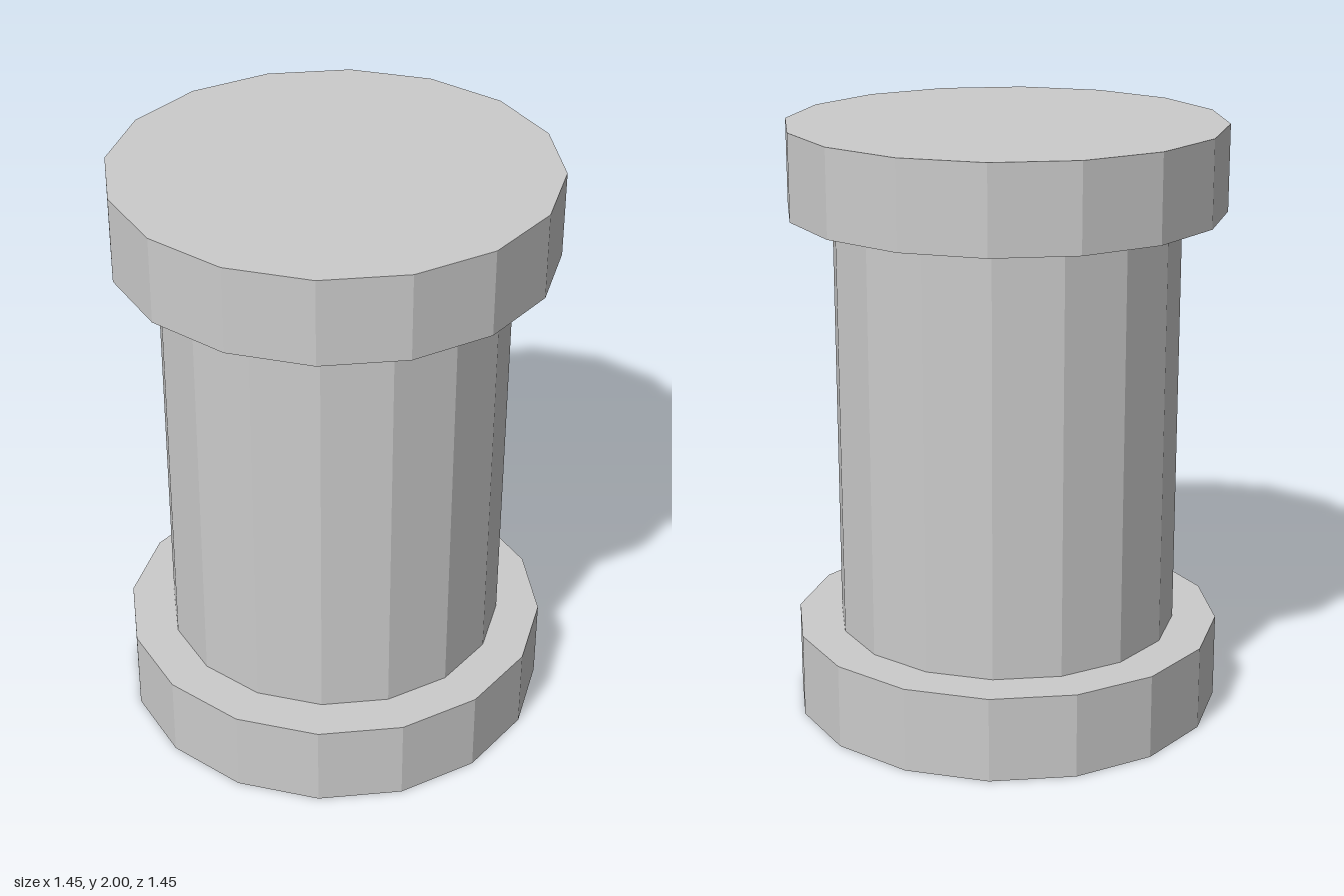
import * as THREE from 'three';

const SIDES = 16;
const TWIST = -0.036; // the facets are turned slightly about the vertical axis

export function createModel() {
  const group = new THREE.Group();
  const material = new THREE.MeshStandardMaterial({ color: 0xcccccc, flatShading: true });

  // Faceted drum standing between two heights
  const addDrum = (name, radius, bottom, top, openEnded = false) => {
    const geometry = new THREE.CylinderGeometry(radius, radius, top - bottom, SIDES, 1, openEnded);
    const mesh = new THREE.Mesh(geometry, material);
    mesh.name = name;
    mesh.position.y = (bottom + top) / 2;
    mesh.rotation.y = TWIST;
    group.add(mesh);
  };

  addDrum('baseDisc', 0.724, 0, 0.287);
  addDrum('shaft', 0.576, 0.287, 1.713, true); // ends are hidden by the discs
  addDrum('topDisc', 0.724, 1.713, 2);

  return group;
}
